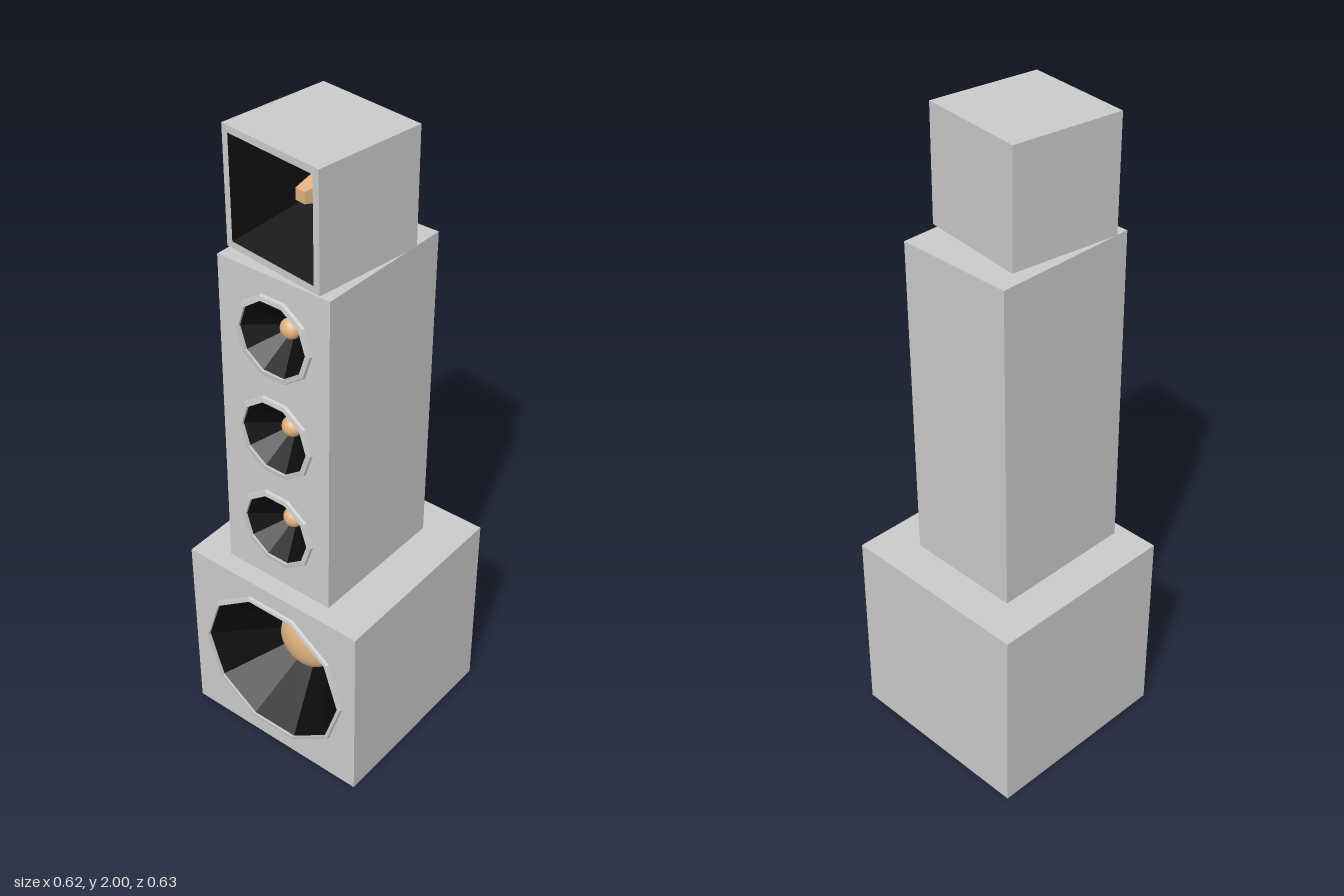
import * as THREE from 'three';

const grey = new THREE.MeshStandardMaterial({ color: 0xcccccc, flatShading: true });
const black = new THREE.MeshStandardMaterial({ color: 0x0c0c0c, flatShading: true, side: THREE.DoubleSide });
const copper = new THREE.MeshStandardMaterial({ color: 0xe2b480 });
const copperFlat = new THREE.MeshStandardMaterial({ color: 0xe2b480, flatShading: true });

function add(parent, name, geometry, material) {
  const mesh = new THREE.Mesh(geometry, material);
  mesh.name = name;
  parent.add(mesh);
  return mesh;
}

// Polygon outline with a corner on +x (or rotated by start)
function polygon(radius, sides, x, y, start = 0) {
  const pts = [];
  for (let i = 0; i < sides; i++) {
    const a = start - (i / sides) * Math.PI * 2;
    pts.push(new THREE.Vector2(x + radius * Math.cos(a), y + radius * Math.sin(a)));
  }
  return new THREE.Path(pts);
}

// Box shell whose front panel has openings cut into it
function cabinet(name, w, h, d, holes) {
  const group = new THREE.Group();
  group.name = name;
  const box = new THREE.BoxGeometry(w, h, d);
  const index = Array.from(box.index.array);
  index.splice(24, 6);
  box.setIndex(index);
  box.clearGroups();
  add(group, name + 'Shell', box, grey);

  const panel = new THREE.Shape();
  panel.moveTo(-w / 2, -h / 2).lineTo(w / 2, -h / 2).lineTo(w / 2, h / 2).lineTo(-w / 2, h / 2);
  panel.closePath();
  panel.holes.push(...holes);
  add(group, name + 'FrontPanel', new THREE.ShapeGeometry(panel).translate(0, 0, d / 2), grey);
  return group;
}

// Ten-sided surface of revolution facing +z
function turned(profile) {
  const pts = profile.map(([r, z]) => new THREE.Vector2(r, z));
  return new THREE.LatheGeometry(pts, 10, Math.PI / 2).rotateX(Math.PI / 2);
}

// Rim, recessed cone and dust cap
function driver(name, outer, inner, cap, depth, bulge) {
  const group = new THREE.Group();
  group.name = name;
  add(group, name + 'Rim', turned([[outer, 0], [outer - 0.003, 0.008], [inner, 0.01], [inner, 0]]), grey);
  add(group, name + 'Cone', turned([[inner, 0.002], [cap * 0.9, -depth], [0, -depth]]), black);
  const dome = new THREE.SphereGeometry(cap, 16, 6, 0, Math.PI * 2, 0, Math.PI / 2);
  dome.rotateX(Math.PI / 2).scale(1, 1, bulge / cap).translate(0, 0, -depth);
  add(group, name + 'DustCap', dome, copper);
  return group;
}

// Square tapering tube or plug along z
function squareTaper(frontHalf, backHalf, length, open) {
  const k = Math.SQRT2;
  return new THREE.CylinderGeometry(frontHalf * k, backHalf * k, length, 4, 1, open, Math.PI / 4)
    .rotateX(Math.PI / 2);
}

export function createModel() {
  const model = new THREE.Group();
  model.name = 'speakerStack';

  // Bass cabinet
  const bass = cabinet('bassCabinet', 0.62, 0.62, 0.62, [polygon(0.252, 10, 0, 0)]);
  const woofer = driver('woofer', 0.265, 0.252, 0.097, 0.16, 0.05);
  woofer.position.z = 0.31;
  bass.add(woofer);
  bass.position.set(0, 0.31, -0.006);
  bass.rotation.y = 0.006;
  model.add(bass);

  // Middle column with three drivers
  const heights = [-0.315, 0.007, 0.324];
  const column = cabinet('midCabinet', 0.372, 1.02, 0.455, heights.map((y) => polygon(0.113, 10, 0, y)));
  heights.forEach((y, i) => {
    const mid = driver('midDriver' + (i + 1), 0.13, 0.113, 0.031, 0.07, 0.028);
    mid.position.set(0, y, 0.2275);
    column.add(mid);
  });
  column.position.set(-0.008, 1.14, 0.0225);
  column.rotation.x = -0.01;
  model.add(column);

  // Turned horn cabinet on top
  const horn = cabinet('hornCabinet', 0.346, 0.345, 0.346, [polygon(0.152 * Math.SQRT2, 4, 0, 0, Math.PI / 4)]);
  const flare = add(horn, 'hornFlare', squareTaper(0.152, 0.03, 0.2, true), black);
  flare.position.z = 0.073;
  const throat = add(horn, 'hornThroat', new THREE.PlaneGeometry(0.06, 0.06), black);
  throat.position.z = -0.027;
  const plug = add(horn, 'hornPlug', squareTaper(0.017, 0.034, 0.1, false), copperFlat);
  plug.position.z = 0.024;
  horn.position.set(-0.005, 1.8275, 0.051);
  horn.rotation.y = -0.125;
  model.add(horn);

  return model;
}
